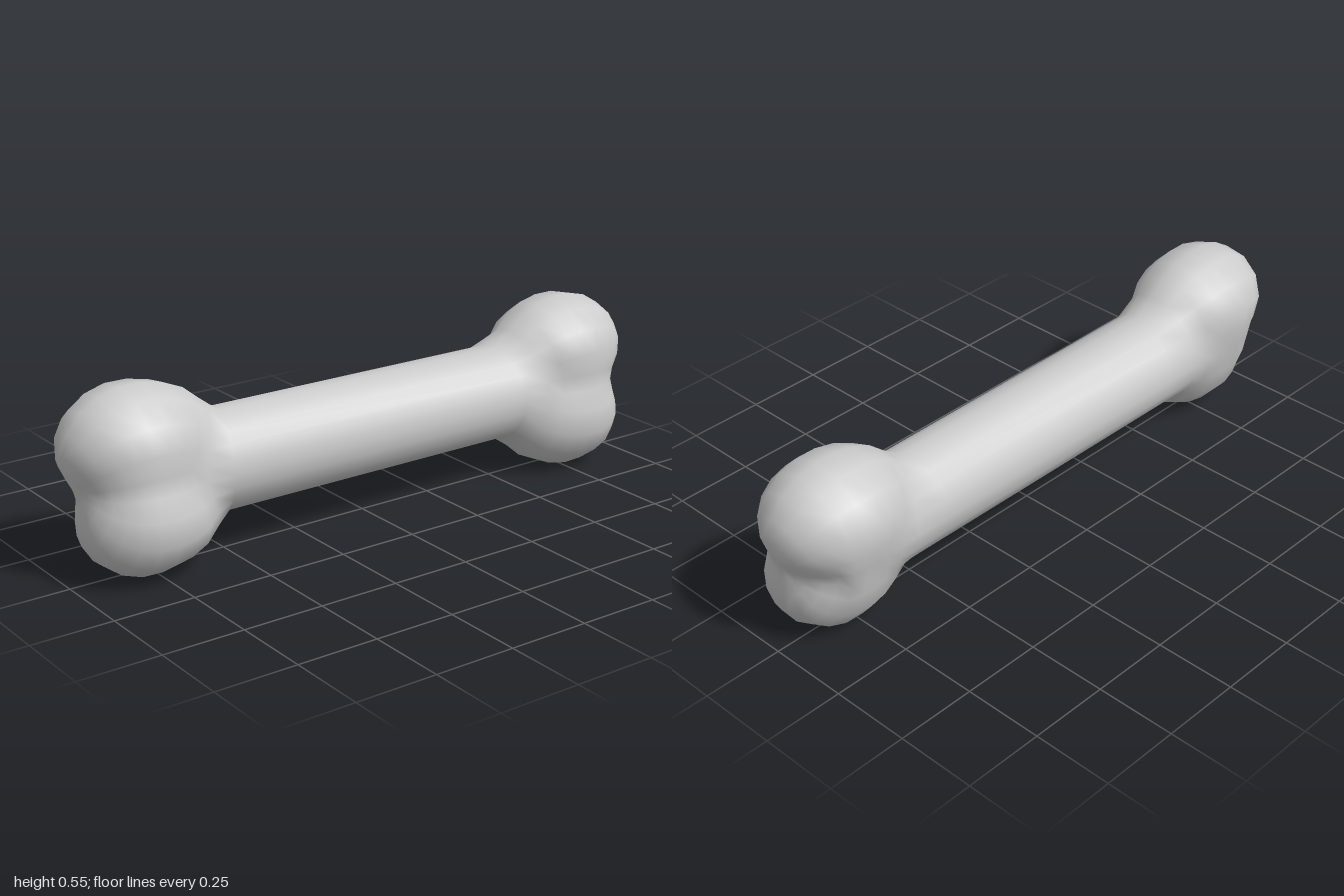
import * as THREE from 'three';

// Knob ellipsoids per end: centre, radii, and a longer radius on the side facing the shaft
const lobes = {
  left: [
    { c: [0.79, 0.382, -0.015], r: [0.21, 0.172, 0.182], inner: 0.25 },
    { c: [0.78, 0.168, 0.024], r: [0.188, 0.168, 0.17], inner: 0.24 },
  ],
  right: [
    { c: [-0.79, 0.386, -0.015], r: [0.21, 0.174, 0.182], inner: 0.26 },
    { c: [-0.78, 0.172, 0.026], r: [0.19, 0.164, 0.173], inner: 0.24 },
  ],
};

// Smooth union of two distances
function blend(a, b, k) {
  const h = Math.max(k - Math.abs(a - b), 0) / k;
  return Math.min(a, b) - h * h * k * 0.25;
}

function lobeDistance(p, { c, r, inner }, side) {
  const dx = (p.x - c[0]) * side;
  const q = Math.hypot(dx / (dx < 0 ? inner : r[0]), (p.y - c[1]) / r[1], (p.z - c[2]) / r[2]);
  return (q - 1) * Math.min(...r);
}

// Bone distance near one end: tapered shaft blended with two knobs
function boneDistance(p, side) {
  const [upper, lower] = side > 0 ? lobes.left : lobes.right;
  const knobs = blend(lobeDistance(p, upper, side), lobeDistance(p, lower, side), 0.06);
  const radial = Math.hypot(p.y - 0.275, p.z + 0.017) - (0.151 - 0.003 * p.x);
  const shaft = Math.max(radial, Math.abs(p.x) - 0.85);
  return blend(knobs, shaft, 0.03);
}

// Surface point along a ray from the middle of a head
function surfacePoint(side, theta, phi) {
  const origin = new THREE.Vector3(0.78 * side, 0.275, 0);
  const dir = new THREE.Vector3(
    Math.cos(theta) * side, Math.sin(theta) * Math.cos(phi), Math.sin(theta) * Math.sin(phi));
  let lo = 0, hi = 0.6;
  for (let i = 0; i < 30; i++) {
    const mid = (lo + hi) / 2;
    if (boneDistance(origin.clone().addScaledVector(dir, mid), side) < 0) lo = mid;
    else hi = mid;
  }
  return origin.addScaledVector(dir, lo);
}

function boneGeometry() {
  const around = 20, rings = 11, maxAngle = THREE.MathUtils.degToRad(151);
  const positions = [], index = [];
  const add = (p) => positions.push(p.x, p.y, p.z);

  // Rings run from the left tip, along the shaft, to the right tip
  const rows = [];
  for (let i = 1; i <= rings; i++) rows.push([1, (maxAngle * i) / rings]);
  for (let i = rings; i >= 1; i--) rows.push([-1, (maxAngle * i) / rings]);
  add(surfacePoint(1, 0, 0));
  for (const [side, theta] of rows)
    for (let j = 0; j < around; j++) add(surfacePoint(side, theta, (j / around) * Math.PI * 2));
  add(surfacePoint(-1, 0, 0));

  const at = (i, j) => 1 + i * around + (j % around);
  const end = 1 + rows.length * around;
  for (let j = 0; j < around; j++) {
    index.push(0, at(0, j), at(0, j + 1));
    for (let i = 0; i < rows.length - 1; i++) {
      const a = at(i, j), b = at(i, j + 1), c = at(i + 1, j), d = at(i + 1, j + 1);
      index.push(a, c, b, b, c, d);
    }
    index.push(end, at(rows.length - 1, j + 1), at(rows.length - 1, j));
  }

  const geometry = new THREE.BufferGeometry();
  geometry.setAttribute('position', new THREE.Float32BufferAttribute(positions, 3));
  geometry.setIndex(index);
  geometry.computeVertexNormals();
  return geometry;
}

export function createModel() {
  const group = new THREE.Group();
  group.name = 'bone';
  const material = new THREE.MeshStandardMaterial({ color: 0xcccccc });
  material.name = 'boneGrey';
  const bone = new THREE.Mesh(boneGeometry(), material);
  bone.name = 'boneShaftAndKnobs';
  group.add(bone);

  // Stand on the ground, centred
  const box = new THREE.Box3().setFromObject(group);
  const centre = box.getCenter(new THREE.Vector3());
  bone.position.set(-centre.x, -box.min.y, -centre.z);
  return group;
}
